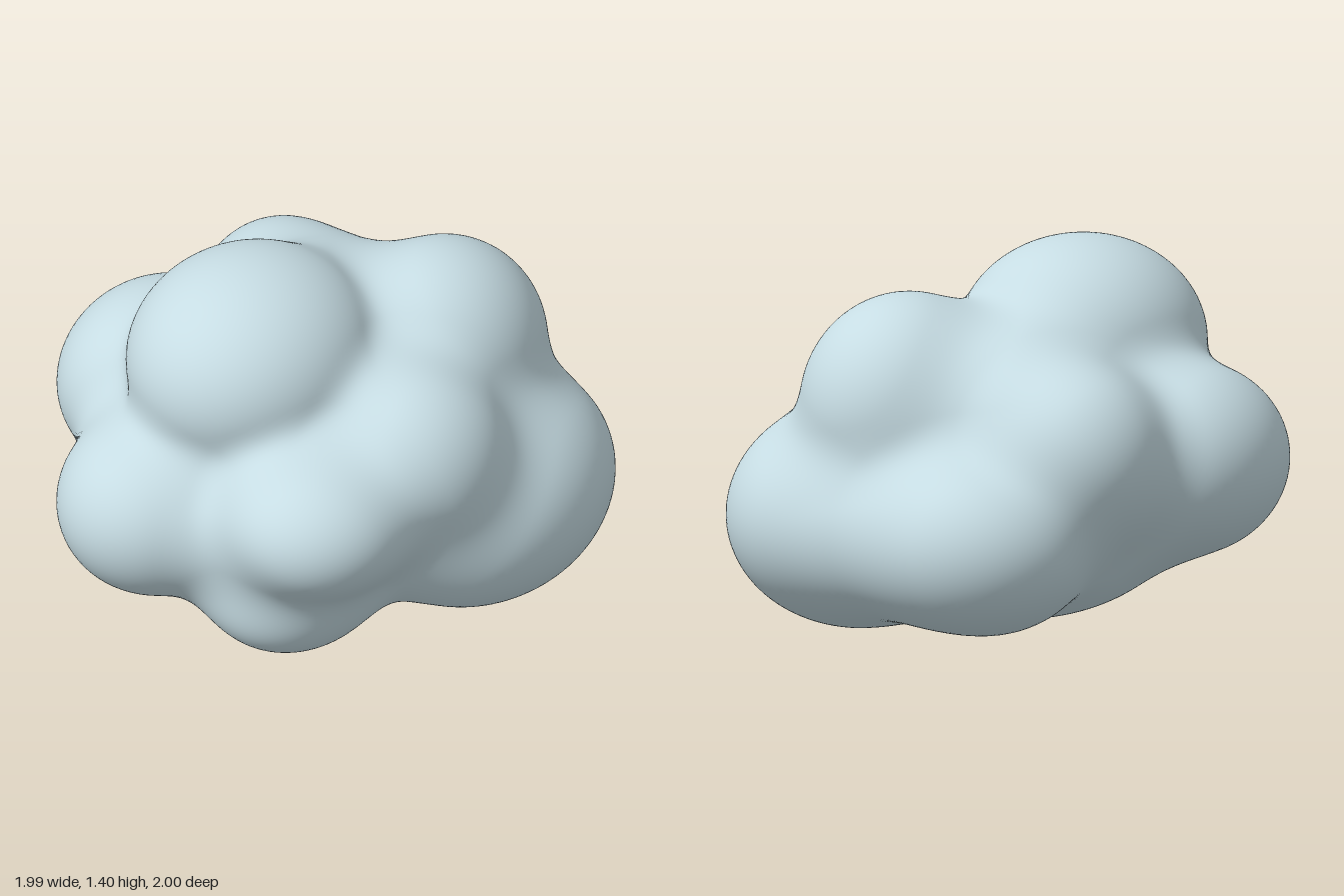
import * as THREE from 'three';
import { mergeVertices } from 'three/addons/utils/BufferGeometryUtils.js';

// Puffs of the cloud: centre x, y, z and radii x, y, z
const puffs = [
  [[-0.02, 0.56, 0], [0.67, 0.52, 0.67]],         // core
  [[0.1, 0.5, 0.36], [0.48, 0.38, 0.49]],         // front core
  [[0.18, 0.42, -0.53], [0.4, 0.31, 0.335]],      // back core
  [[-0.14, 1.01, 0.27], [0.45, 0.39, 0.485]],     // top front
  [[-0.14, 0.78, -0.18], [0.39, 0.4, 0.47]],      // ridge behind the top
  [[0.28, 0.85, -0.325], [0.385, 0.41, 0.425]],   // top back
  [[0.47, 0.74, 0.17], [0.355, 0.355, 0.365]],    // left shoulder
  [[0.5, 0.42, -0.21], [0.49, 0.42, 0.57]],       // large low side
  [[-0.14, 0.425, -0.6], [0.41, 0.335, 0.4]],     // back
  [[-0.62, 0.65, 0.1], [0.38, 0.355, 0.42]],      // right side
  [[-0.43, 0.73, -0.41], [0.32, 0.33, 0.32]],     // back corner
  [[-0.325, 0.51, 0.59], [0.375, 0.34, 0.41]],    // front, large
  [[0.35, 0.66, 0.6], [0.335, 0.265, 0.345]],     // front, smaller
  [[0.16, 0.25, 0.5], [0.29, 0.215, 0.32]],       // front, lowest
];
const BLEND = 0.15;

// Approximate signed distance to one ellipsoid
function puffDistance(p, [c, r]) {
  const x = (p.x - c[0]) / r[0], y = (p.y - c[1]) / r[1], z = (p.z - c[2]) / r[2];
  const k0 = Math.hypot(x, y, z);
  const k1 = Math.hypot(x / r[0], y / r[1], z / r[2]);
  return k1 < 1e-6 ? -Math.min(...r) : (k0 * (k0 - 1)) / k1;
}

// Smooth union of all the puffs
function cloudDistance(p) {
  let d = Infinity;
  for (const puff of puffs) {
    const e = puffDistance(p, puff);
    const h = Math.max(BLEND - Math.abs(d - e), 0) / BLEND;
    d = Math.min(d, e) - h * h * BLEND * 0.25;
  }
  return d;
}

// Shrink-wrap a fine sphere onto the blended puffs
function cloudGeometry() {
  let geometry = new THREE.IcosahedronGeometry(1, 40);
  geometry.deleteAttribute('normal');
  geometry.deleteAttribute('uv');
  geometry = mergeVertices(geometry, 1e-4);

  const centre = new THREE.Vector3(0, 0.6, 0);
  const pos = geometry.attributes.position;
  const dir = new THREE.Vector3(), p = new THREE.Vector3();
  for (let i = 0; i < pos.count; i++) {
    dir.fromBufferAttribute(pos, i).normalize();
    let t = 1.5;
    for (let step = 0; step < 70; step++) {
      const d = cloudDistance(p.copy(centre).addScaledVector(dir, t));
      t -= d * 0.7;
      if (Math.abs(d) < 1e-4) break;
    }
    p.copy(centre).addScaledVector(dir, t);
    pos.setXYZ(i, p.x, p.y, p.z);
  }
  geometry.computeVertexNormals();
  return geometry;
}

export function createModel() {
  const group = new THREE.Group();
  group.name = 'cloud';
  const paleBlue = new THREE.MeshStandardMaterial({ color: 0xc6dce3 });
  paleBlue.name = 'pale blue grey';
  const body = new THREE.Mesh(cloudGeometry(), paleBlue);
  body.name = 'cloudBody';
  group.add(body);
  return group;
}
